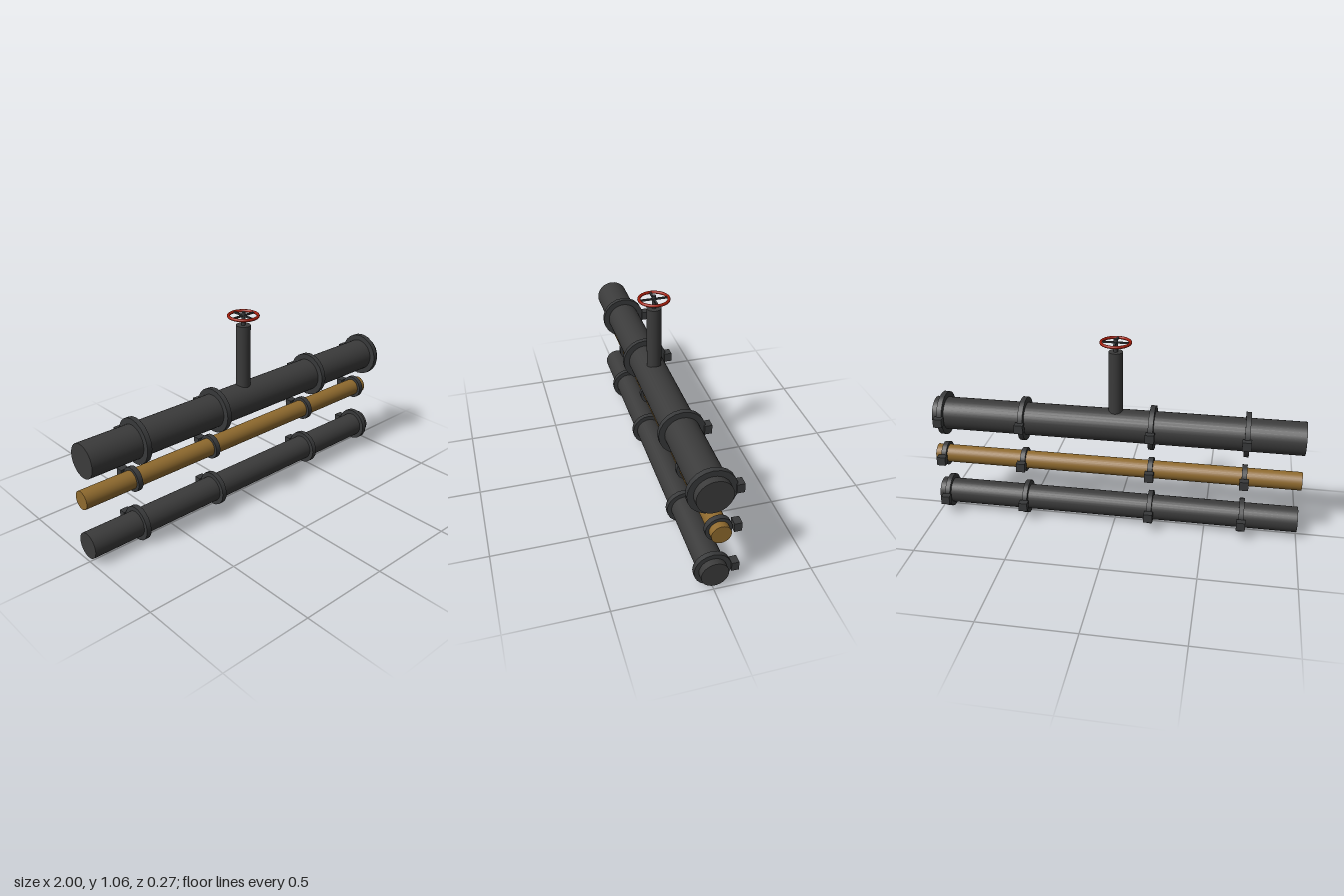
import * as THREE from 'three';

export function createModel() {
  const mat = (name, color) => {
    const m = new THREE.MeshStandardMaterial({ color });
    m.name = name;
    return m;
  };
  const iron = mat('dark iron', 0x3b3b3b);
  const clampIron = mat('clamp iron', 0x38393a);
  const brass = mat('brass', 0x8f6a2e);
  const red = mat('red paint', 0xa01c0a);

  const root = new THREE.Group();
  root.name = 'pipeRun';
  const add = (parent, name, geometry, material, x = 0, y = 0, z = 0) => {
    const mesh = new THREE.Mesh(geometry, material);
    mesh.name = name;
    mesh.position.set(x, y, z);
    parent.add(mesh);
    return mesh;
  };
  const rod = (radius, length, sides) => new THREE.CylinderGeometry(radius, radius, length, sides);

  // Three horizontal pipes, each with clamps and square wall mounts behind
  const pipes = [
    { name: 'upperPipe', y: 0.577, z: 0.015, r: 0.089, clampR: 0.12, material: iron },
    { name: 'middlePipe', y: 0.346, z: -0.024, r: 0.049, clampR: 0.066, material: brass },
    { name: 'lowerPipe', y: 0.096, z: -0.004, r: 0.069, clampR: 0.093, material: iron },
  ];
  const clampX = [-0.7, -0.2, 0.5, 0.95];
  for (const p of pipes) {
    const group = new THREE.Group();
    group.name = p.name + 'Assembly';
    group.position.y = p.y;
    root.add(group);
    add(group, p.name, rod(p.r, 2, 32).rotateZ(Math.PI / 2), p.material, 0, 0, p.z);
    for (const x of clampX) {
      add(group, 'clamp', rod(p.clampR, 0.027, 20).rotateZ(Math.PI / 2), clampIron, x, 0, p.z);
      add(group, 'wallMount', new THREE.BoxGeometry(0.048, 0.048, 0.038), clampIron, x, 0, -0.114);
    }
  }

  // Valve: riser, spindle and spoked handwheel
  const valve = new THREE.Group();
  valve.name = 'valve';
  valve.position.z = 0.015;
  root.add(valve);
  add(valve, 'riser', rod(0.038, 0.395, 24), iron, 0, 0.7975, 0);
  add(valve, 'spindle', rod(0.0105, 0.075, 16), clampIron, 0, 1.0275, 0);
  add(valve, 'handwheelRim', new THREE.TorusGeometry(0.076, 0.008, 10, 32).rotateX(Math.PI / 2), red, 0, 1.045, 0);
  add(valve, 'spokeAcross', new THREE.BoxGeometry(0.15, 0.008, 0.01), clampIron, 0, 1.045, 0);
  add(valve, 'spokeDeep', new THREE.BoxGeometry(0.01, 0.008, 0.15), clampIron, 0, 1.045, 0);

  return root;
}
